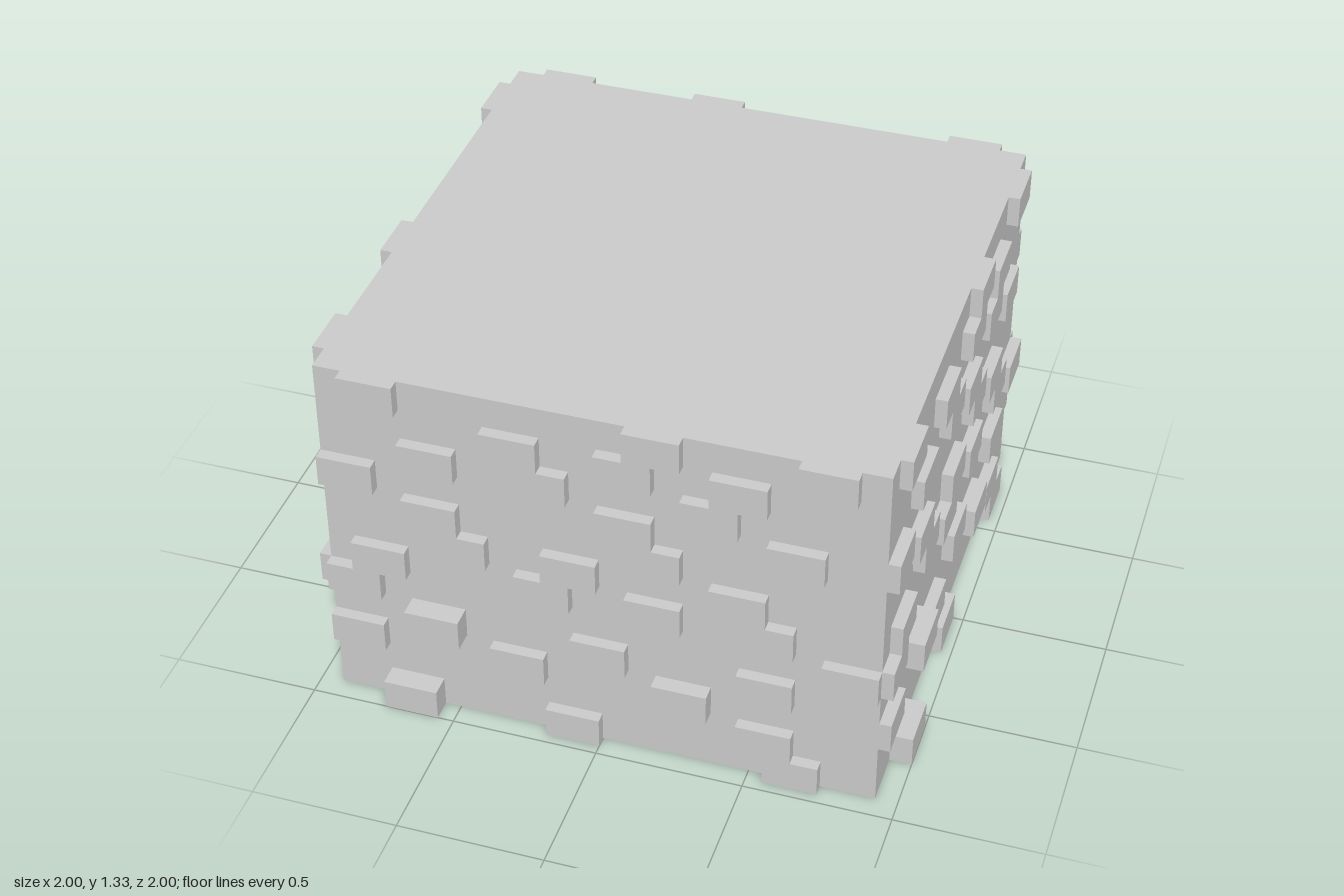
import * as THREE from 'three';
import { mergeGeometries } from 'three/addons/utils/BufferGeometryUtils.js';

const HALF = 0.925;          // wall distance from the centre
const STEP = HALF / 10;      // half a brick
const ROW = 1.325 / 12;      // brick course height
const HEIGHT = ROW * 12;

// Start of each raised brick (in half bricks), one list per course from the ground up
const COURSES = [
  [2, 8, 16], [15], [0, 6, 12], [3, 9, 15], [0, 18], [1, 7, 11, 15],
  [4, 8, 14], [3, 11], [0, 10, 16], [3, 7, 13], [6, 10, 14], [1, 11, 17],
];
// Bricks that stand out further than the rest, keyed by course and start
const DEPTHS = { '0,2': 0.075, '3,3': 0.075, '2,12': 0.055 };

const material = new THREE.MeshStandardMaterial({
  color: 0xcccccc, flatShading: true, side: THREE.DoubleSide,
});

// Flat strip of wall between two columns of one course
function strip(row, from, to) {
  return new THREE.PlaneGeometry((to - from) * STEP, ROW)
    .translate(((from + to) / 2 - 10) * STEP, (row + 0.5) * ROW, HALF);
}

// Raised brick, hollow and open towards the inside
function brick(row, start) {
  const depth = DEPTHS[`${row},${start}`] ?? 0.04;
  const g = new THREE.BoxGeometry(2 * STEP, ROW, depth);
  g.setIndex(Array.from(g.index.array).slice(0, 30)); // drop the back face
  return g.translate((start + 1 - 10) * STEP, (row + 0.5) * ROW, HALF + depth / 2);
}

export function createModel() {
  const group = new THREE.Group();
  group.name = 'brickBlock';

  const strips = [], bricks = [];
  COURSES.forEach((starts, row) => {
    let x = 0;
    for (const s of starts) {
      if (s > x) strips.push(strip(row, x, s));
      bricks.push(brick(row, s));
      x = s + 2;
    }
    if (x < 20) strips.push(strip(row, x, 20));
  });
  const wallGeometry = mergeGeometries(strips);
  const brickGeometry = mergeGeometries(bricks);

  // Four identical sides turned about the centre
  ['front', 'right', 'back', 'left'].forEach((name, i) => {
    const side = new THREE.Group();
    side.name = name + 'Side';
    const wall = new THREE.Mesh(wallGeometry, material);
    wall.name = name + 'Wall';
    const raised = new THREE.Mesh(brickGeometry, material);
    raised.name = name + 'Bricks';
    side.add(wall, raised);
    side.rotation.y = i * Math.PI / 2;
    group.add(side);
  });

  // Closed top; the underside stays open
  const top = new THREE.Mesh(new THREE.PlaneGeometry(2 * HALF, 2 * HALF).rotateX(-Math.PI / 2), material);
  top.name = 'top';
  top.position.y = HEIGHT;
  group.add(top);
  return group;
}
